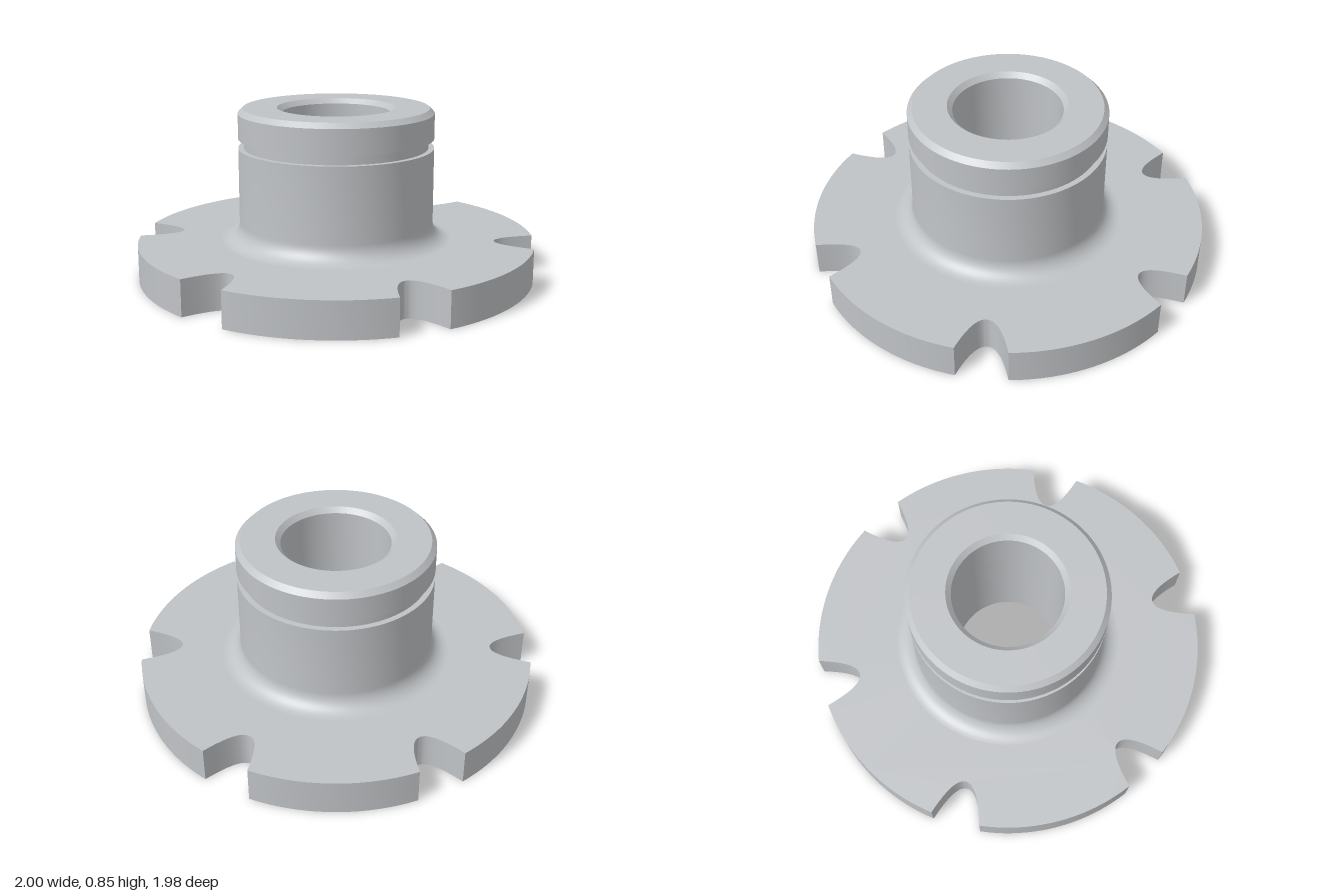
import * as THREE from 'three';
import { toCreasedNormals } from 'three/addons/utils/BufferGeometryUtils.js';

const SEGMENTS = 96;
const BORE = 0.27;
const FLANGE_TOP = 0.18;
const HUB = 0.49;
const FILLET = 0.09;
const CREASE = 0.5;

// Flange outline: six arcs separated by rounded, flaring notches
function flangeShape() {
  const notchHalf = new THREE.CubicBezierCurve(
    new THREE.Vector2(0.124, 0.9923), new THREE.Vector2(0.08, 0.85),
    new THREE.Vector2(0.04, 0.798), new THREE.Vector2(0, 0.798)
  ).getPoints(12);
  const halfAngle = Math.asin(0.124);
  const sector = Math.PI / 3;
  const points = [];
  for (let k = 0; k < 6; k++) {
    const mid = Math.PI / 6 + k * sector;
    // x across the notch, y outward along its axis
    const place = (x, y) => points.push(new THREE.Vector2(
      y * Math.cos(mid) - x * Math.sin(mid),
      y * Math.sin(mid) + x * Math.cos(mid)
    ));
    notchHalf.forEach((p) => place(-p.x, p.y));
    notchHalf.slice(0, -1).reverse().forEach((p) => place(p.x, p.y));
    const steps = 20;
    for (let i = 1; i < steps; i++) {
      const a = mid + halfAngle + (sector - 2 * halfAngle) * i / steps;
      points.push(new THREE.Vector2(Math.cos(a), Math.sin(a)));
    }
  }
  const shape = new THREE.Shape(points);
  const hole = [];
  for (let i = 0; i < SEGMENTS; i++) {
    const a = -i / SEGMENTS * Math.PI * 2;
    hole.push(new THREE.Vector2(BORE * Math.cos(a), BORE * Math.sin(a)));
  }
  shape.holes.push(new THREE.Path(hole));
  return shape;
}

// Hub section: fillet, barrel, ring groove, chamfered rim, then down the bore
function hubProfile() {
  const profile = [];
  for (let i = 0; i <= 10; i++) {
    const a = i / 10 * Math.PI / 2;
    profile.push([HUB + FILLET * (1 - Math.sin(a)), FLANGE_TOP + FILLET * (1 - Math.cos(a))]);
  }
  profile.push(
    [HUB, 0.646], [0.462, 0.646], [0.462, 0.694], [HUB, 0.694],
    [HUB, 0.82], [0.465, 0.845], [0.295, 0.845], [BORE, 0.82], [BORE, FLANGE_TOP]
  );
  return profile.map(([r, y]) => new THREE.Vector2(r, y));
}

export function createModel() {
  const group = new THREE.Group();
  group.name = 'flangedHub';
  const steel = new THREE.MeshStandardMaterial({ color: 0xc0c3c6 });
  steel.name = 'steel grey';

  const add = (name, geometry) => {
    const mesh = new THREE.Mesh(toCreasedNormals(geometry, CREASE), steel);
    mesh.name = name;
    group.add(mesh);
  };

  const flange = new THREE.ExtrudeGeometry(flangeShape(), { depth: FLANGE_TOP, bevelEnabled: false });
  flange.rotateX(-Math.PI / 2);
  add('notchedFlange', flange);
  add('hub', new THREE.LatheGeometry(hubProfile(), SEGMENTS));
  return group;
}
